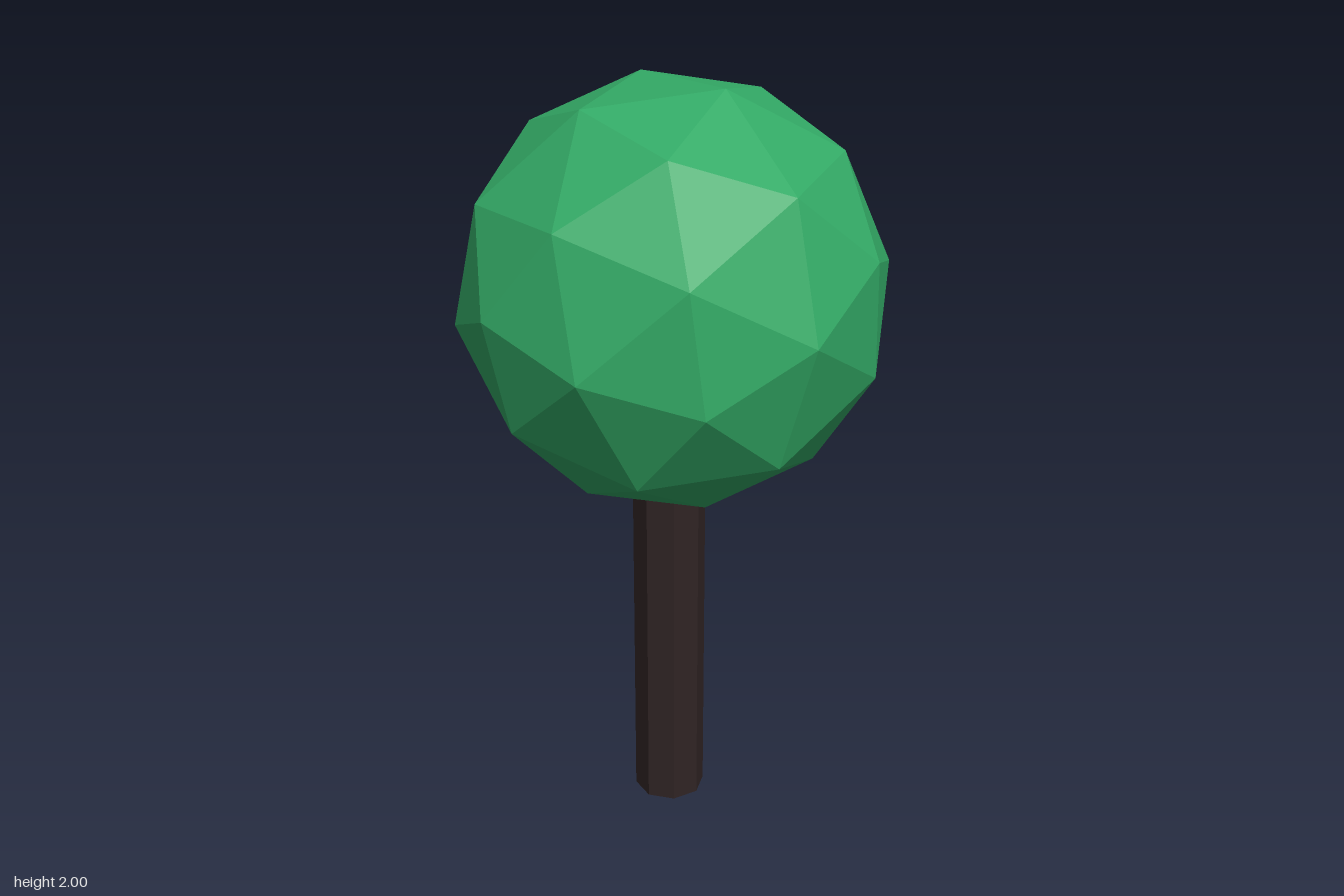
import * as THREE from 'three';

// Right-handed frame from a face's outward normal and one of its corners
function faceFrame(normal, corner) {
  const y = normal.clone().normalize();
  const z = corner.clone().addScaledVector(y, -corner.dot(y)).normalize();
  const x = new THREE.Vector3().crossVectors(y, z);
  return new THREE.Matrix4().makeBasis(x, y, z);
}

export function createModel() {
  const tree = new THREE.Group();
  tree.name = 'tree';

  const leafGreen = new THREE.MeshStandardMaterial({ color: 0x33aa66, flatShading: true });
  leafGreen.name = 'leaf green';
  const barkBrown = new THREE.MeshStandardMaterial({ color: 0x302424, flatShading: true });
  barkBrown.name = 'bark brown';

  // Trunk: straight octagonal post reaching into the crown
  const trunkHeight = 1.0;
  const trunk = new THREE.Mesh(
    new THREE.CylinderGeometry(0.097, 0.097, trunkHeight, 8), barkBrown);
  trunk.name = 'trunk';
  trunk.position.set(-0.01, trunkHeight / 2, -0.01);
  tree.add(trunk);

  // Crown: 80-sided ball, turned so one large face tilts slightly off the top
  const base = new THREE.IcosahedronGeometry(1, 0).getAttribute('position');
  const [a, b, c] = [0, 1, 2].map(i => new THREE.Vector3().fromBufferAttribute(base, i));
  const from = faceFrame(a.clone().add(b).add(c), a);
  const to = faceFrame(new THREE.Vector3(-0.122, 0.99, 0.056), new THREE.Vector3(-0.06, 0.418, 0.36));
  const crownGeometry = new THREE.IcosahedronGeometry(0.552, 1);
  crownGeometry.applyMatrix4(to.multiply(from.invert()));
  crownGeometry.computeVertexNormals();
  const crown = new THREE.Mesh(crownGeometry, leafGreen);
  crown.name = 'crown';
  crown.position.y = 1.475;
  tree.add(crown);

  return tree;
}
